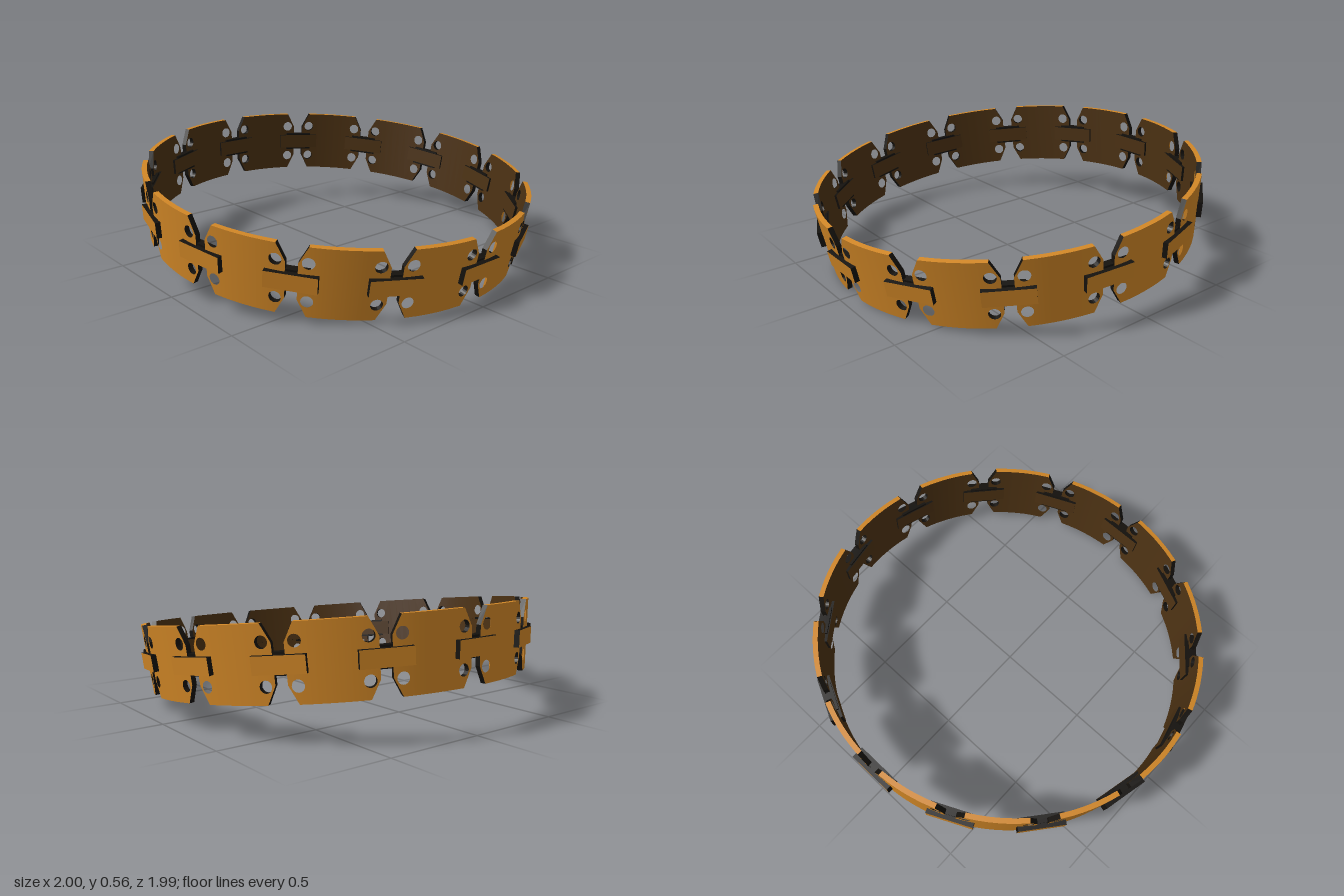
import * as THREE from 'three';

const COUNT = 14;                        // panels and links around the band
const R = 0.977;                         // outer radius at mid height
const FLARE = THREE.MathUtils.degToRad(5.8);
const TILT = THREE.MathUtils.degToRad(6.5);
const HALF_H = 0.1725, HALF_W = 0.192, THICK = 0.025;

const orange = new THREE.MeshStandardMaterial({ color: 0xd08626 });
orange.name = 'orange';
const brown = new THREE.MeshStandardMaterial({ color: 0x4a3012 });
brown.name = 'dark brown';
const black = new THREE.MeshStandardMaterial({ color: 0x14110d });
black.name = 'black';
const panelMaterials = [orange, brown, black];

// Extrudes a flat slice, then wraps it around the flared band
function bentSlice(shape) {
  const geo = new THREE.ExtrudeGeometry(shape, { depth: THICK, bevelEnabled: false, curveSegments: 10 });
  const pos = geo.attributes.position;
  const lid = geo.groups[0].count;
  geo.clearGroups();
  geo.addGroup(0, lid / 2, 1);           // inside face
  geo.addGroup(lid / 2, lid / 2, 0);     // outside face
  for (let i = lid; i < pos.count; i += 6) {
    let onRim = true;
    for (let k = 0; k < 6; k++) onRim = onRim && Math.abs(pos.getY(i + k)) > HALF_H - 1e-4;
    geo.addGroup(i, 6, onRim ? 0 : 2);   // rims orange, ends and hole walls black
  }
  const angles = [];
  for (let i = 0; i < pos.count; i++) {
    const a = pos.getX(i) / R, v = pos.getY(i), d = pos.getZ(i) - THICK;
    const r = R + v * Math.sin(FLARE) + d * Math.cos(FLARE);
    pos.setXYZ(i, r * Math.sin(a), v * Math.cos(FLARE) - d * Math.sin(FLARE), r * Math.cos(a));
    angles.push(a);
  }
  geo.computeVertexNormals();
  for (let i = 0; i < lid; i++) {        // smooth normals on the curved faces
    const s = i < lid / 2 ? -1 : 1, c = Math.cos(FLARE);
    geo.attributes.normal.setXYZ(i, s * c * Math.sin(angles[i]), -s * Math.sin(FLARE), s * c * Math.cos(angles[i]));
  }
  return geo;
}

// Panel end with clipped corners and two holes; side is -1 or 1
function endSlice(side) {
  const points = [[0.09, -HALF_H], [0.15, -HALF_H], [HALF_W, -0.09], [HALF_W, 0.09], [0.15, HALF_H], [0.09, HALF_H]];
  const shape = new THREE.Shape(points.map(([x, y]) => new THREE.Vector2(side * x, y)));
  for (const y of [-0.094, 0.094]) {
    const hole = new THREE.Path();
    hole.absarc(side * 0.149, y, 0.028, 0, Math.PI * 2, true);
    shape.holes.push(hole);
  }
  return bentSlice(shape);
}

function middleSlice(x0, x1) {
  return bentSlice(new THREE.Shape([
    new THREE.Vector2(x0, -HALF_H), new THREE.Vector2(x1, -HALF_H),
    new THREE.Vector2(x1, HALF_H), new THREE.Vector2(x0, HALF_H),
  ]));
}

// Box spanning a range of depth measured from the outer surface
function depthBox(w, h, inner, outer) {
  return new THREE.BoxGeometry(w, h, outer - inner).translate(0, 0, (inner + outer) / 2);
}

export function createModel() {
  const model = new THREE.Group();
  model.name = 'linkedBand';
  const band = new THREE.Group();
  band.name = 'tiltedBand';
  band.rotation.x = TILT;
  model.add(band);

  const slices = [endSlice(-1), endSlice(1)];
  for (let i = 0; i < 4; i++) slices.push(middleSlice(-0.09 + i * 0.045, -0.045 + i * 0.045));
  const linkGeo = depthBox(0.235, 0.08, -0.045, 0.018);
  const coreGeo = depthBox(0.15, 0.1, -0.04, -0.006);
  const linkMaterials = [black, black, black, black, orange, brown];

  const step = (Math.PI * 2) / COUNT;
  for (let i = 0; i < COUNT; i++) {
    // Curved panel
    const panel = new THREE.Group();
    panel.name = 'panel';
    panel.rotation.y = (i + 0.5) * step;
    for (const geo of slices) {
      const slice = new THREE.Mesh(geo, panelMaterials);
      slice.name = 'panelSection';
      panel.add(slice);
    }
    // Connecting link bridging the gap to the next panel
    const joint = new THREE.Group();
    joint.name = 'joint';
    joint.rotation.y = i * step;
    const link = new THREE.Mesh(linkGeo, linkMaterials);
    link.name = 'link';
    const core = new THREE.Mesh(coreGeo, black);
    core.name = 'linkCore';
    for (const part of [link, core]) {
      part.position.z = R;
      part.rotation.x = FLARE;
      joint.add(part);
    }
    band.add(panel, joint);
  }

  // Stand on the ground, centred
  model.updateMatrixWorld(true);
  const box = new THREE.Box3().setFromObject(band, true);
  const centre = box.getCenter(new THREE.Vector3());
  band.position.set(-centre.x, -box.min.y, -centre.z);
  return model;
}
